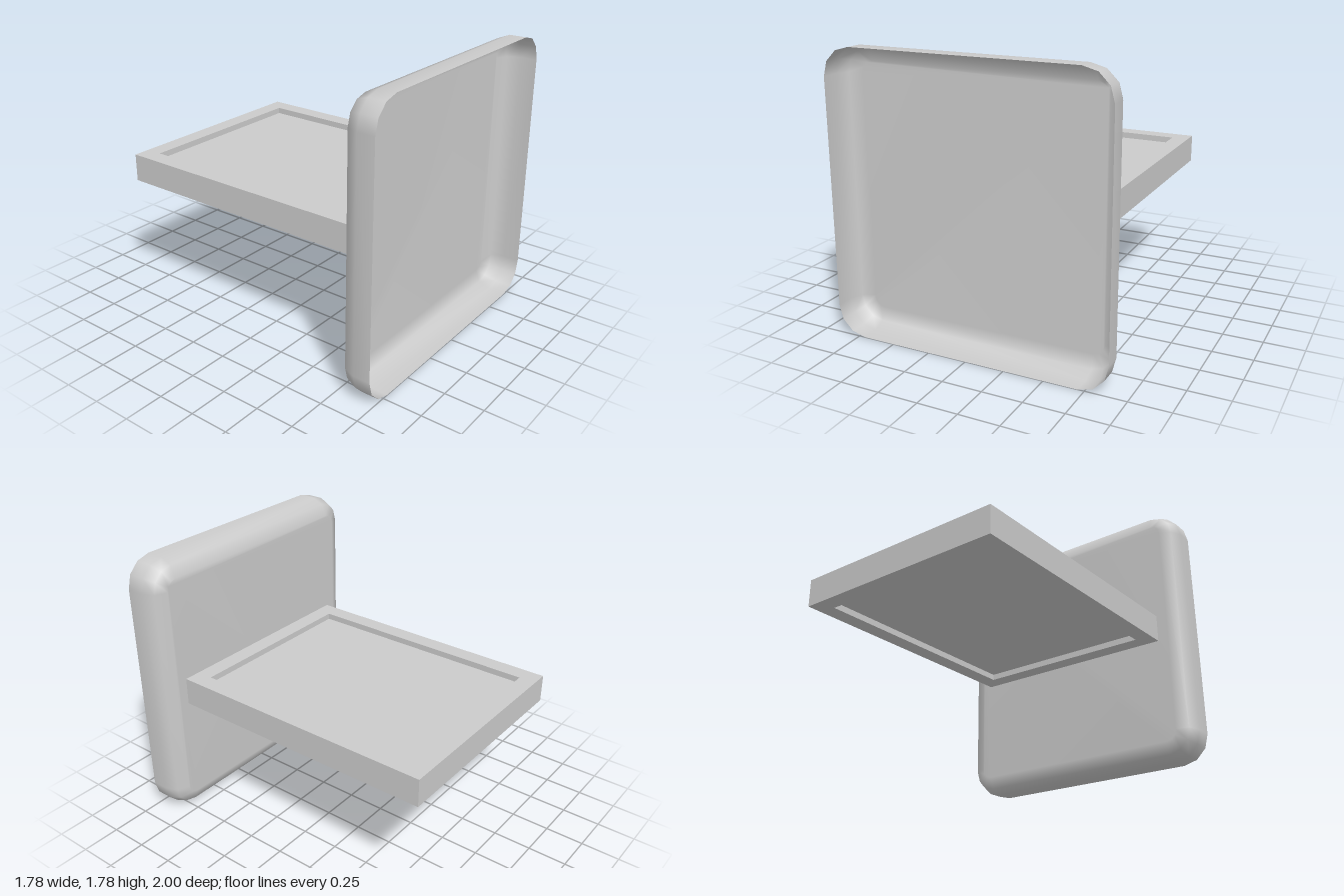
import * as THREE from 'three';

const material = new THREE.MeshStandardMaterial({ color: 0xcccccc });
const shellMaterial = new THREE.MeshStandardMaterial({ color: 0xcccccc, side: THREE.DoubleSide });

// Open tray: rounded-square rings from the front rim to the back, then a flat cap
function trayGeometry() {
  const half = 0.89, corner = 0.18, fillet = 0.11, midY = 0.89;
  const rings = [{ z: 1, inset: 0 }];
  for (let k = 0; k <= 2; k++) {
    const t = (k * Math.PI) / 4;
    rings.push({ z: 0.89 - fillet * Math.sin(t), inset: fillet * (1 - Math.cos(t)) });
  }
  const positions = [], index = [];
  const count = 16, centre = half - corner;
  for (const { z, inset } of rings) {
    for (let q = 0; q < 4; q++) {
      const cx = q === 0 || q === 3 ? centre : -centre;
      const cy = q < 2 ? centre : -centre;
      for (let s = 0; s <= 3; s++) {
        const a = (q + s / 3) * Math.PI / 2;
        const r = corner - inset;
        positions.push(cx + r * Math.cos(a), midY + cy + r * Math.sin(a), z);
      }
    }
  }
  for (let i = 0; i < rings.length - 1; i++) {
    for (let j = 0; j < count; j++) {
      const a = i * count + j, b = i * count + (j + 1) % count;
      index.push(a, a + count, b, b, a + count, b + count);
    }
  }
  // Cap fans out from the upper +x corner
  const last = (rings.length - 1) * count;
  for (let j = 1; j < count - 1; j++) {
    const at = (k) => last + (k + 1) % count;
    index.push(at(0), at(j + 1), at(j));
  }
  const geometry = new THREE.BufferGeometry();
  geometry.setAttribute('position', new THREE.Float32BufferAttribute(positions, 3));
  geometry.setIndex(index);
  geometry.computeVertexNormals();
  return geometry;
}

function rectangle(target, x, z0, z1) {
  target.moveTo(-x, z0);
  target.lineTo(x, z0);
  target.lineTo(x, z1);
  target.lineTo(-x, z1);
  target.closePath();
  return target;
}

export function createModel() {
  const group = new THREE.Group();

  const tray = new THREE.Mesh(trayGeometry(), shellMaterial);
  tray.name = 'frontTray';
  group.add(tray);

  // Rectangular frame reaching back from the tray
  const outline = rectangle(new THREE.Shape(), 0.71, -1, 0.779);
  outline.holes.push(rectangle(new THREE.Path(), 0.6, -0.89, 0.67));
  const frame = new THREE.Mesh(
    new THREE.ExtrudeGeometry(outline, { depth: 0.18, bevelEnabled: false }), material);
  frame.rotation.x = Math.PI / 2;
  frame.position.y = 0.98;
  frame.name = 'shelfFrame';
  group.add(frame);

  // Panel set back from both faces of the frame
  const panel = new THREE.Mesh(new THREE.BoxGeometry(1.2, 0.1, 1.56), material);
  panel.position.set(0, 0.89, -0.11);
  panel.name = 'shelfPanel';
  group.add(panel);

  return group;
}
